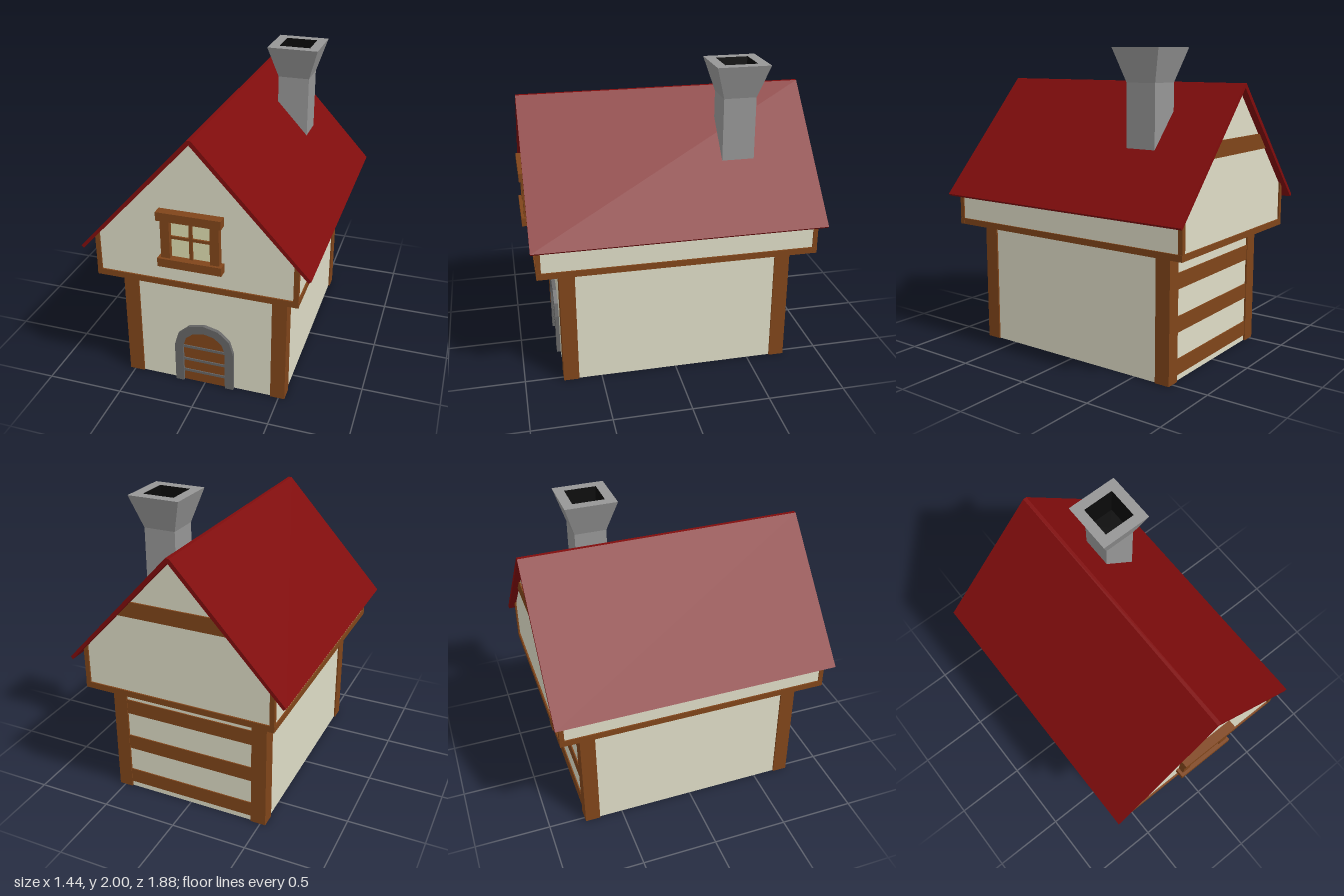
import * as THREE from 'three';

const mat = (color, extra = {}) => new THREE.MeshStandardMaterial({ color, flatShading: true, ...extra });
const plaster = mat(0xdedcc6);
const timber = mat(0x80451a);
const roofRed = mat(0x800c0c);
const stone = mat(0x969696);
const iron = mat(0x666666);
const glass = mat(0xdfddb0);
const soot = mat(0x0a0a0a);

export function createModel() {
  const house = new THREE.Group();
  house.name = 'house';

  const add = (name, geometry, material) => {
    const mesh = new THREE.Mesh(geometry, material);
    mesh.name = name;
    house.add(mesh);
    return mesh;
  };
  // Box given by its limits on each axis
  const box = (name, material, x0, x1, y0, y1, z0, z1) => {
    const mesh = add(name, new THREE.BoxGeometry(x1 - x0, y1 - y0, z1 - z0), material);
    mesh.position.set((x0 + x1) / 2, (y0 + y1) / 2, (z0 + z1) / 2);
    return mesh;
  };
  // Outline in x, y extruded from z0 to z1
  const slab = (name, material, points, z0, z1, hole) => {
    const shape = new THREE.Shape(points.map(([x, y]) => new THREE.Vector2(x, y)));
    if (hole) shape.holes.push(new THREE.Path(hole.map(([x, y]) => new THREE.Vector2(x, y))));
    const geometry = new THREE.ExtrudeGeometry(shape, { depth: z1 - z0, bevelEnabled: false });
    return add(name, geometry.translate(0, 0, z0), material);
  };
  // Height of the roof underside above a given x
  const eave = (x) => 1.765 - 1.08 * Math.abs(x);

  // Ground floor with corner posts
  box('groundFloorWalls', plaster, -0.525, 0.53, 0, 0.82, -0.745, 0.74);
  for (const [x0, x1] of [[-0.535, -0.435], [0.445, 0.54]]) {
    for (const [z0, z1] of [[0.65, 0.75], [-0.757, -0.657]]) {
      box('cornerPost', timber, x0, x1, 0, 0.815, z0, z1);
    }
  }
  for (const y of [0.09, 0.36, 0.63]) {
    box('backBeam', timber, -0.44, 0.45, y - 0.05, y + 0.05, -0.753, -0.735);
  }

  // Upper floor with gables
  const w = 0.63;
  slab('upperWalls', plaster,
    [[-w, 0.815], [w, 0.815], [w, eave(w)], [0, eave(0)], [-w, eave(w)]], -0.89, 0.88);
  for (const z of [0.875, -0.885]) {
    box('floorBeam', timber, -0.638, 0.64, 0.81, 0.85, z - 0.015, z + 0.015);
  }
  for (const s of [-1, 1]) {
    box('floorBeam', timber, s * 0.624 - 0.015, s * 0.624 + 0.015, 0.81, 0.85, -0.9, 0.89);
    for (const z of [0.86, -0.9]) {
      const post = [[s * 0.608, 0.83], [s * 0.638, 0.83], [s * 0.638, eave(0.638)], [s * 0.608, eave(0.608)]];
      slab('upperCornerPost', timber, s > 0 ? post : post.reverse(), z, z + 0.03);
    }
  }
  const gx = (y) => (1.765 - y) / 1.08;
  slab('gableBeam', timber,
    [[-gx(1.36), 1.36], [gx(1.36), 1.36], [gx(1.46), 1.46], [-gx(1.46), 1.46]], -0.9, -0.88);

  // Bent roof sheet
  slab('roof', roofRed, [
    [-0.705, 0.998], [0, 1.76], [0.7, 1.01], [0.716, 1.024],
    [0.012, 1.787], [-0.012, 1.787], [-0.721, 1.012],
  ], -0.935, 0.92);

  // Chimney: square rings lofted from the shaft to the flared top and down the flue
  const cx = 0.274, cz = -0.431;
  const squareLoft = (name, material, rings) => {
    const geometry = new THREE.LatheGeometry(
      rings.map(([half, y]) => new THREE.Vector2(half * Math.SQRT2, y)), 4);
    geometry.rotateY(Math.PI / 4).translate(cx, 0, cz);
    add(name, geometry.toNonIndexed(), material).geometry.computeVertexNormals();
  };
  squareLoft('chimney', stone, [[0.104, 1.37], [0.104, 1.79], [0.169, 2], [0.104, 2]]);
  squareLoft('chimneyFlue', soot, [[0.104, 2], [0.088, 1.82], [0, 1.82]]);

  // Arched doorway
  const arch = (halfWidth, spring, rise) => {
    const points = [[-halfWidth, 0], [halfWidth, 0]];
    for (let i = 0; i <= 6; i++) {
      const a = (i / 6) * Math.PI;
      points.push([halfWidth * Math.cos(a), spring + rise * Math.sin(a)]);
    }
    return points;
  };
  const inner = arch(0.142, 0.28, 0.12);
  const outer = arch(0.198, 0.28, 0.177);
  // The frame is open at the foot: out along the outer arch, back along the inner
  slab('doorFrame', iron, [...outer.slice(1), outer[0], inner[0], ...inner.slice(2).reverse(), inner[1]], 0.73, 0.765);
  slab('door', timber, inner, 0.73, 0.748);
  for (const y of [0.08, 0.17, 0.27]) {
    box('doorBand', iron, -0.142, 0.142, y - 0.009, y + 0.009, 0.735, 0.754);
  }

  // Window in the front gable
  const wx = -0.012;
  box('windowPane', glass, wx - 0.13, wx + 0.13, 1.02, 1.28, 0.87, 0.888);
  for (const y of [0.97, 1.275]) {
    box('windowSill', timber, wx - 0.2, wx + 0.2, y, y + 0.055, 0.87, 0.94);
  }
  for (const s of [-1, 1]) {
    const x = wx + s * 0.153;
    box('windowJamb', timber, x - 0.028, x + 0.028, 1.02, 1.28, 0.87, 0.922);
  }
  box('windowMullion', timber, wx - 0.01, wx + 0.01, 1.02, 1.28, 0.87, 0.902);
  box('windowCrossbar', timber, wx - 0.13, wx + 0.13, 1.147, 1.165, 0.87, 0.9);

  return house;
}
